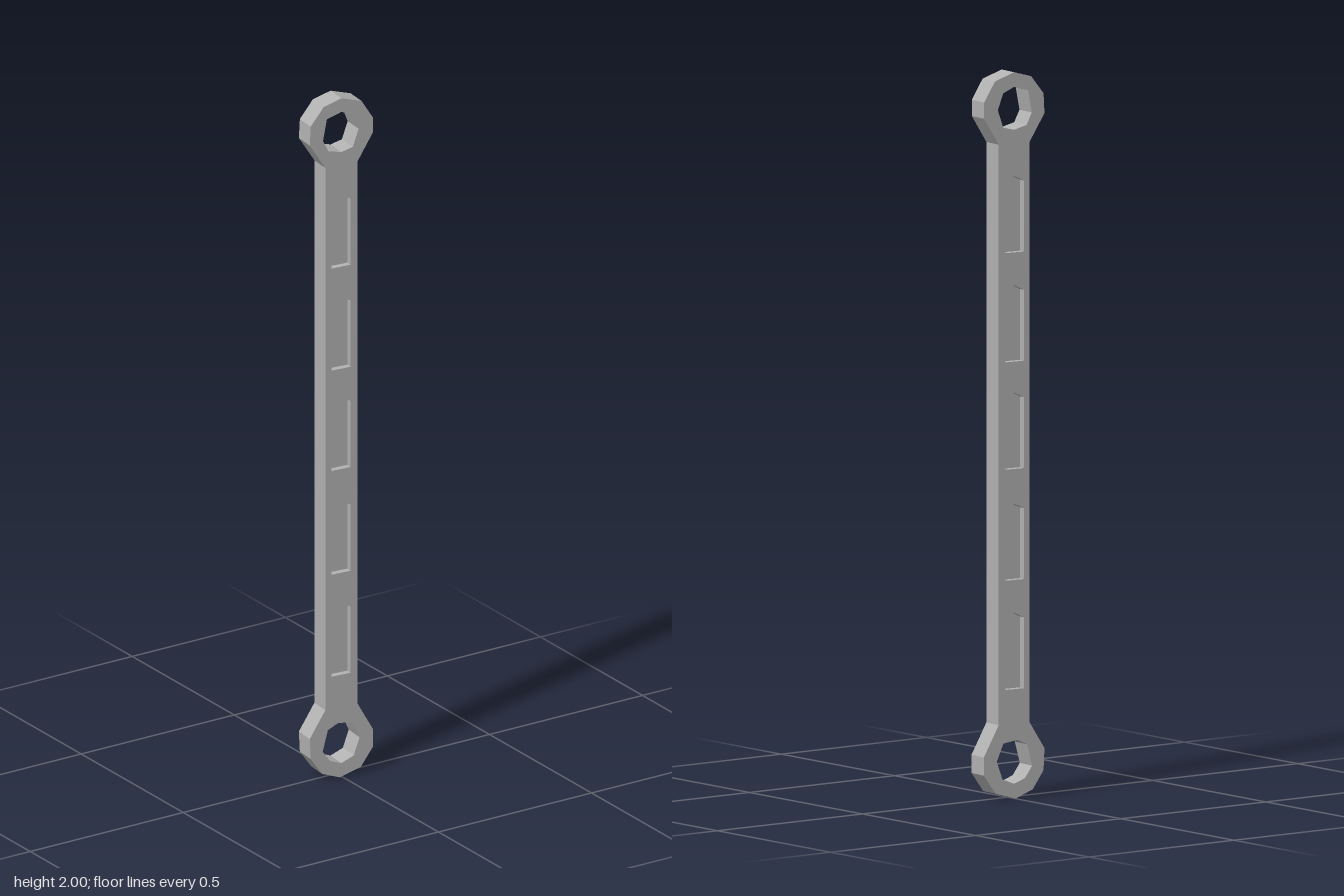
import * as THREE from 'three';

const steel = new THREE.MeshStandardMaterial({ color: 0xb2b2b2 });
steel.name = 'grey steel';
steel.flatShading = true;

const V = (x, y) => new THREE.Vector2(x, y);

// Irregular low-poly eye ends, joined by a straight bar
const outline = [
  V(-0.05, 0.21), V(-0.098, 0.135), V(-0.095, 0.075), V(-0.06, 0.025), V(-0.005, 0.004),
  V(0.06, 0.022), V(0.098, 0.075), V(0.098, 0.125), V(0.05, 0.21),
  V(0.05, 1.805), V(0.097, 1.88), V(0.097, 1.925), V(0.062, 1.98), V(0, 2),
  V(-0.055, 1.985), V(-0.095, 1.935), V(-0.098, 1.88), V(-0.05, 1.805),
];

const eyeHoles = [
  [V(-0.058, 0.09), V(-0.035, 0.058), V(0, 0.045), V(0.038, 0.06), V(0.056, 0.11),
    V(0.035, 0.158), V(-0.01, 0.165), V(-0.042, 0.15)],
  [V(-0.057, 1.885), V(-0.04, 1.852), V(0, 1.842), V(0.035, 1.85), V(0.053, 1.9),
    V(0.035, 1.945), V(0, 1.96), V(-0.045, 1.947)],
];

// Five window-like recesses along the bar
const pockets = [0.305, 0.605, 0.91, 1.205, 1.505].map((y) => [
  V(-0.031, y), V(0.028, y), V(0.028, y + 0.195), V(0, y + 0.21), V(-0.031, y + 0.195),
]);

function plate(name, z0, z1, holes) {
  const shape = new THREE.Shape(outline);
  shape.holes = holes.map((pts) => new THREE.Path(pts));
  const geometry = new THREE.ExtrudeGeometry(shape, { depth: z1 - z0, bevelEnabled: false });
  const mesh = new THREE.Mesh(geometry.translate(0, 0, z0), steel);
  mesh.name = name;
  return mesh;
}

export function createModel() {
  const link = new THREE.Group();
  link.name = 'connectingLink';

  // The core forms the pocket floors, the outer plates frame the pockets
  link.add(plate('core', -0.013, 0.011, eyeHoles));
  link.add(plate('frontPlate', 0.011, 0.029, [...eyeHoles, ...pockets]));
  link.add(plate('backPlate', -0.033, -0.013, [...eyeHoles, ...pockets]));

  // The whole link is turned slightly about its length
  link.rotation.y = -0.09;

  const model = new THREE.Group();
  model.name = 'linkArm';
  model.add(link);
  return model;
}
